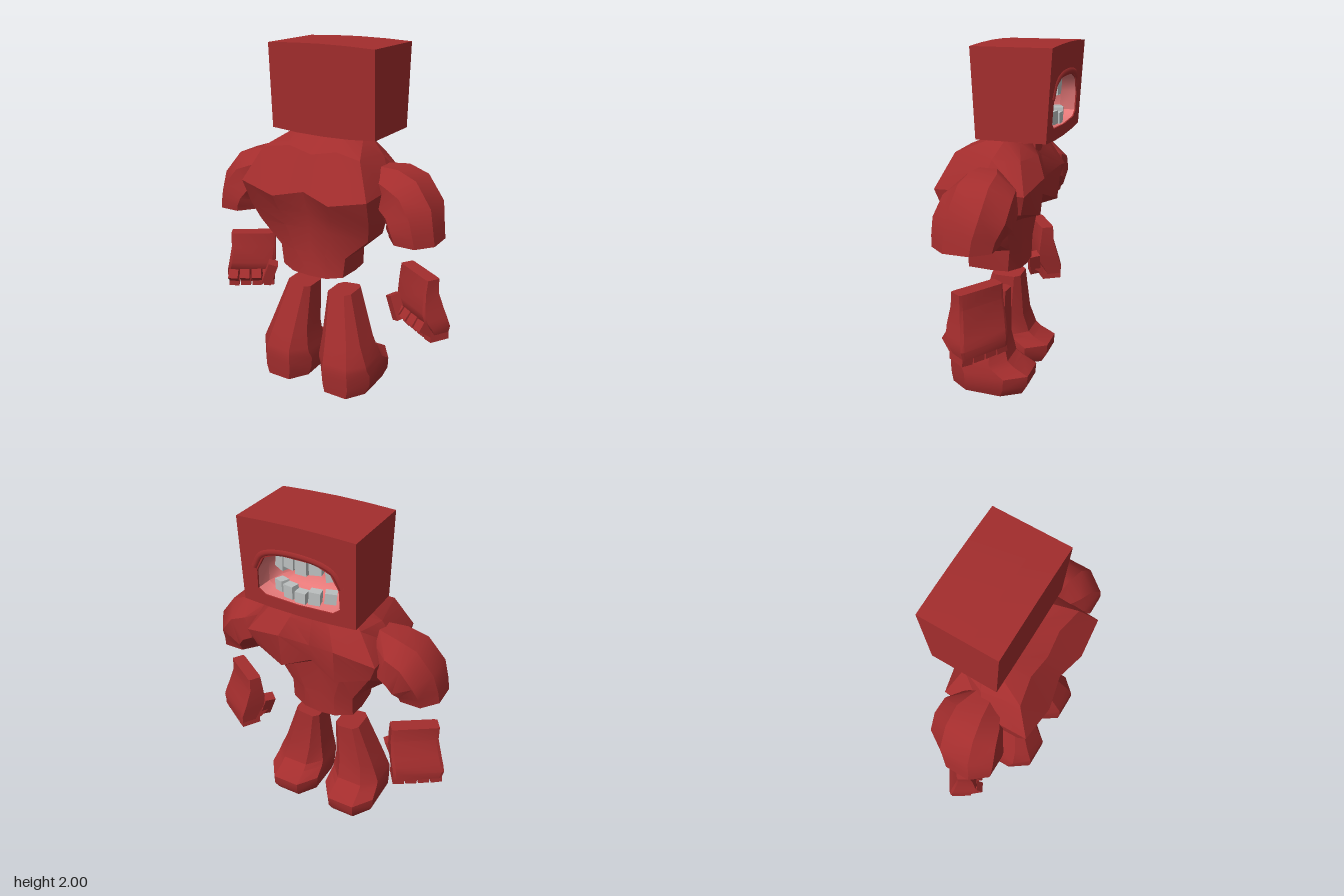
import * as THREE from 'three';
import { toCreasedNormals } from 'three/addons/utils/BufferGeometryUtils.js';

const red = new THREE.MeshStandardMaterial({ color: 0xa32d2d });
red.name = 'red skin';
const pink = new THREE.MeshStandardMaterial({ color: 0xe87a7a });
pink.name = 'pink mouth';
const grey = new THREE.MeshStandardMaterial({ color: 0xbcc0c0 });
grey.name = 'grey teeth';

// Skin a stack of equal-length rings; inside = faces point inward and the first cap stays open
function loft(rings, crease = 0.5, inside = false) {
  const n = rings[0].length, tris = [];
  const cap = (ring, flip) => {
    const c = [0, 1, 2].map(k => ring.reduce((a, p) => a + p[k], 0) / n);
    ring.forEach((p, i) => {
      const q = ring[(i + 1) % n];
      tris.push(flip ? [c, q, p] : [c, p, q]);
    });
  };
  for (let r = 0; r < rings.length - 1; r++) {
    for (let i = 0; i < n; i++) {
      const j = (i + 1) % n;
      const a = rings[r][i], b = rings[r][j], c = rings[r + 1][j], d = rings[r + 1][i];
      tris.push([a, b, c], [a, c, d]);
    }
  }
  cap(rings[rings.length - 1], false);
  cap(rings[0], true);
  const o = new THREE.Vector3(...rings[0][0]);
  let volume = 0;
  for (const t of tris) {
    const [a, b, c] = t.map(p => new THREE.Vector3(...p).sub(o));
    volume += a.dot(b.cross(c));
  }
  if (inside) tris.length -= n;
  const flip = (volume < 0) !== inside;
  const pos = tris.flatMap(t => (flip ? [t[0], t[2], t[1]] : t).flat());
  const geo = new THREE.BufferGeometry();
  geo.setAttribute('position', new THREE.Float32BufferAttribute(pos, 3));
  return toCreasedNormals(geo, crease);
}

// Chamfered ring between two xy points and two z limits; s mirrors x
function ring(s, x0, y0, x1, y1, z0, z1, k = 0.28) {
  return [[k, 0], [1 - k, 0], [1, k], [1, 1 - k], [1 - k, 1], [k, 1], [0, 1 - k], [0, k]]
    .map(([t, u]) => [s * (x0 + (x1 - x0) * t), y0 + (y1 - y0) * t, z0 + (z1 - z0) * u]);
}

function add(parent, name, geo, mat) {
  const m = new THREE.Mesh(geo, mat);
  m.name = name;
  parent.add(m);
  return m;
}

function box(parent, name, mat, size, at, rot = [0, 0, 0]) {
  const m = add(parent, name, new THREE.BoxGeometry(...size), mat);
  m.position.set(...at);
  m.rotation.set(...rot);
}

function makeTorso(g) {
  // Half rings [x, y, z] from spine to chest centre, mirrored across x
  const halves = [
    [[0, 1.5, .06], [.12, 1.5, .07], [.23, 1.5, .04], [.24, 1.5, -.04], [.2, 1.48, -.11], [.1, 1.46, -.15], [0, 1.46, -.15]],
    [[0, 1.42, .205], [.15, 1.45, .19], [.31, 1.43, .22], [.34, 1.41, 0], [.28, 1.4, -.14], [.12, 1.4, -.19], [0, 1.38, -.17]],
    [[0, 1.23, .29], [.18, 1.19, .33], [.4, 1.24, .31], [.41, 1.25, .05], [.4, 1.24, -.2], [.17, 1.29, -.24], [0, 1.26, -.2]],
    [[0, 1.1, .25], [.17, 1.09, .28], [.385, 1.09, .25], [.39, 1.09, .04], [.36, 1.13, -.17], [.17, 1.08, -.22], [0, 1.15, -.18]],
    [[0, 1, .235], [.15, 1, .25], [.355, .98, .2], [.362, .98, .04], [.31, 1.05, -.07], [.15, 1.04, -.11], [0, 1.1, -.1]],
    [[0, .85, .22], [.1, .85, .23], [.215, .85, .2], [.225, .85, .06], [.2, .86, -.05], [.1, .86, -.09], [0, .86, -.075]],
    [[0, .71, .235], [.11, .715, .235], [.2, .73, .2], [.21, .73, .06], [.2, .73, -.04], [.1, .72, -.085], [0, .71, -.085]],
  ];
  const rings = halves.map(h => [...h, ...h.slice(1, -1).reverse().map(([x, y, z]) => [-x, y, z])]);
  add(g, 'torso', loft(rings, 0.45), red);
  box(g, 'neck', red, [.2, .1, .2], [0, 1.455, -.066]);
}

function makeHead(g) {
  const head = new THREE.Group();
  head.name = 'head';
  g.add(head);
  const v = pts => pts.map(p => new THREE.Vector2(...p));
  const outline = v([[-.33, 1.512], [-.17, 1.5], [0, 1.496], [.17, 1.5], [.33, 1.512],
    [.33, 1.99], [.17, 1.997], [0, 2], [-.17, 1.997], [-.33, 1.99]]);
  const mouth = [[-.2, 1.57], [0, 1.56], [.2, 1.57], [.24, 1.6], [.235, 1.71], [.19, 1.79],
    [.1, 1.825], [-.1, 1.825], [-.19, 1.79], [-.235, 1.71], [-.24, 1.6]];
  // Depth runs -1..1 and grows towards the top of the head
  const depth = (y, d) => -.1 + d * (.193 + .027 * (y - 1.5) / .5);
  const slab = (d0, d1, hole) => {
    const shape = new THREE.Shape(outline);
    if (hole) shape.holes.push(new THREE.Path(v(mouth)));
    const geo = new THREE.ExtrudeGeometry(shape, { depth: d1 - d0, bevelEnabled: false });
    const p = geo.attributes.position;
    for (let i = 0; i < p.count; i++) p.setZ(i, depth(p.getY(i), p.getZ(i) + d0));
    return toCreasedNormals(geo, 0.4);
  };
  add(head, 'face', slab(-1, .3, true), red);
  add(head, 'backOfHead', slab(.3, 1, false), red);

  // Bowl-shaped mouth cavity
  const liner = [[-.97, .985], [-.55, .95], [-.15, .8], [.05, .5]].map(([d, k]) =>
    mouth.map(([x, y]) => [x * k, 1.69 + (y - 1.69) * k, depth(y, d)]));
  add(head, 'mouthCavity', loft(liner, 0.9, true), pink);

  // Low raised rim above the mouth
  const path = mouth.slice(4, 10).map(([x, y]) => new THREE.Vector3(x * 1.08, y + .014, depth(y, -1) + .012));
  const lip = new THREE.TubeGeometry(new THREE.CatmullRomCurve3(path), 24, .022, 6);
  add(head, 'upperLip', lip, red);

  // Two curved rows of blocky teeth
  for (let i = -2; i <= 2; i++) {
    const x = i * .072, h = .1 - (i & 1) * .018, tilt = i * .05;
    box(head, 'upperTooth', grey, [.066, h, .045], [x, 1.82 - x * x - h / 2, -.245 + x * x * 2], [0, -x * 3, tilt]);
    const low = .06 + (i & 1) * .012;
    box(head, 'lowerTooth', grey, [.062, low, .05], [x, 1.565 + x * x * .6 + low / 2, -.255 + x * x * 2], [0, -x * 3, -tilt]);
  }
}

// Flat-backed fist, turned so that its back faces outwards and towards -z
function makeHand(g, s, name) {
  const hand = new THREE.Group();
  hand.name = name;
  hand.position.set(s * .575, 0, 0);
  hand.rotation.y = -s * .576;
  g.add(hand);
  const slab = ([y, x0, x1, z0, z1]) => ring(s, x0, y, x1, y, z0, z1, .06);
  add(hand, 'palm', loft([
    [.785, -.138, .138, -.047, .034],
    [.7, -.14, .138, -.05, .045],
    [.59, -.135, .16, -.085, .06],
    [.545, -.13, .17, -.1, .05],
    [.5, -.125, .177, -.113, .02],
    [.45, -.12, .165, -.11, -.01],
  ].map(slab), 0.4), red);
  for (let i = 0; i < 4; i++) {
    const x = s * (-.085 + i * .073), lean = s * (i - 1.5) * .06;
    box(hand, 'knuckle', red, [.066, .085, .12], [x, .458, -.045], [0, 0, lean]);
    box(hand, 'fingertip', red, [.06, .06, .11], [x, .495, .03], [-.6, 0, lean]);
  }
  box(hand, 'thumb', red, [.06, .15, .07], [s * -.1, .535, .075], [.15, 0, s * .35]);
}

function makeLimbs(g, s) {
  const side = s > 0 ? 'left' : 'right';
  // Upper arm, bulging at the shoulder
  add(g, side + 'UpperArm', loft([
    ring(s, .34, 1.37, .36, 1.14, -.09, .12),
    ring(s, .46, 1.37, .38, 1.08, -.17, .17),
    ring(s, .575, 1.33, .41, 1.06, -.18, .2),
    ring(s, .675, 1.2, .42, 1.04, -.17, .225),
    ring(s, .7, 1.08, .44, 1.02, -.125, .225),
    ring(s, .712, 1.003, .445, 1.003, -.11, .22),
  ], 0.6), red);

  makeHand(g, s, side + 'Hand');

  // Leg flaring down into a foot whose toe points to -z
  add(g, side + 'Leg', loft([
    ring(s, .06, .585, .215, .6, -.02, .165, .18),
    ring(s, .055, .32, .31, .32, -.03, .25, .22),
    ring(s, .04, .2, .358, .2, -.065, .29, .25),
    ring(s, .035, .17, .362, .17, -.1, .295, .25),
    ring(s, .03, .125, .37, .125, -.19, .295, .25),
    ring(s, .035, .06, .368, .06, -.185, .29, .25),
    ring(s, .055, 0, .345, 0, -.15, .285, .25),
  ], 0.5), red);
}

export function createModel() {
  const g = new THREE.Group();
  g.name = 'blockHeadedBrute';
  makeTorso(g);
  makeHead(g);
  for (const s of [1, -1]) makeLimbs(g, s);
  return g;
}
